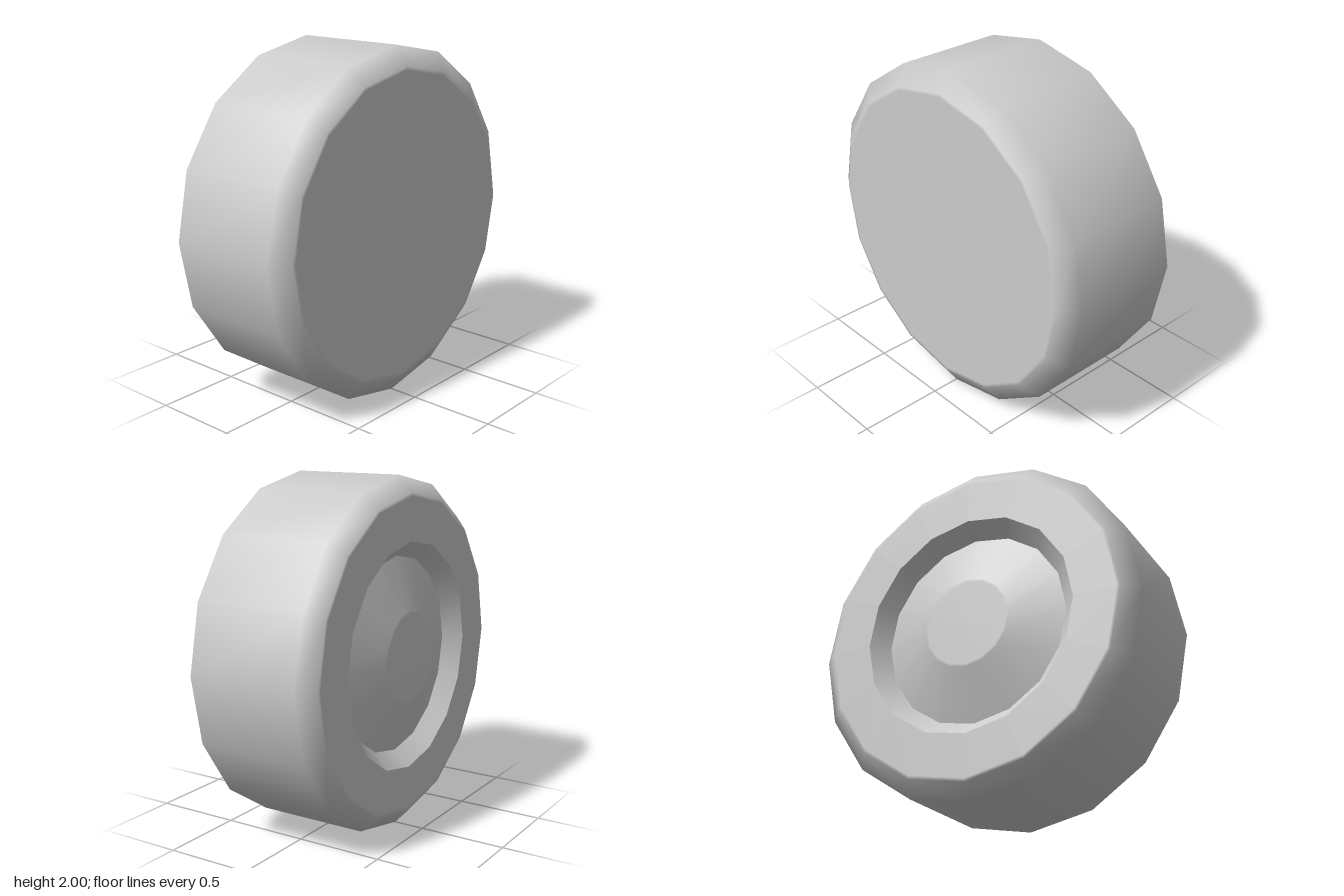
import * as THREE from 'three';

const SIDES = 16;

// Revolve [radius, distance along axle] pairs; the axle's positive end faces -x.
function revolve(name, profile, material) {
  const points = profile.map(([r, a]) => new THREE.Vector2(r, a));
  const geometry = new THREE.LatheGeometry(points, SIDES);
  geometry.rotateZ(Math.PI / 2);
  const mesh = new THREE.Mesh(geometry, material);
  mesh.name = name;
  return mesh;
}

export function createModel() {
  const material = new THREE.MeshStandardMaterial({ color: 0xcccccc });
  const wheel = new THREE.Group();
  wheel.name = 'wheel';

  // Tyre: closed flat inner side, tread with chamfered shoulders, outer side wall
  wheel.add(revolve('tyre', [
    [0, -0.405], [0.87, -0.405], [0.89, -0.405], [1, -0.33],
    [1, 0.32], [0.91, 0.405], [0.89, 0.405], [0.645, 0.405],
  ], material));

  // Rim: sloped wall of the recess
  wheel.add(revolve('rim', [[0.645, 0.405], [0.56, 0.31]], material));

  // Hub: shallow cone rising from the recess to a flat cap
  wheel.add(revolve('hub', [
    [0.56, 0.31], [0.265, 0.405], [0.25, 0.407], [0, 0.407],
  ], material));

  wheel.position.y = 1;
  const model = new THREE.Group();
  model.add(wheel);
  return model;
}
